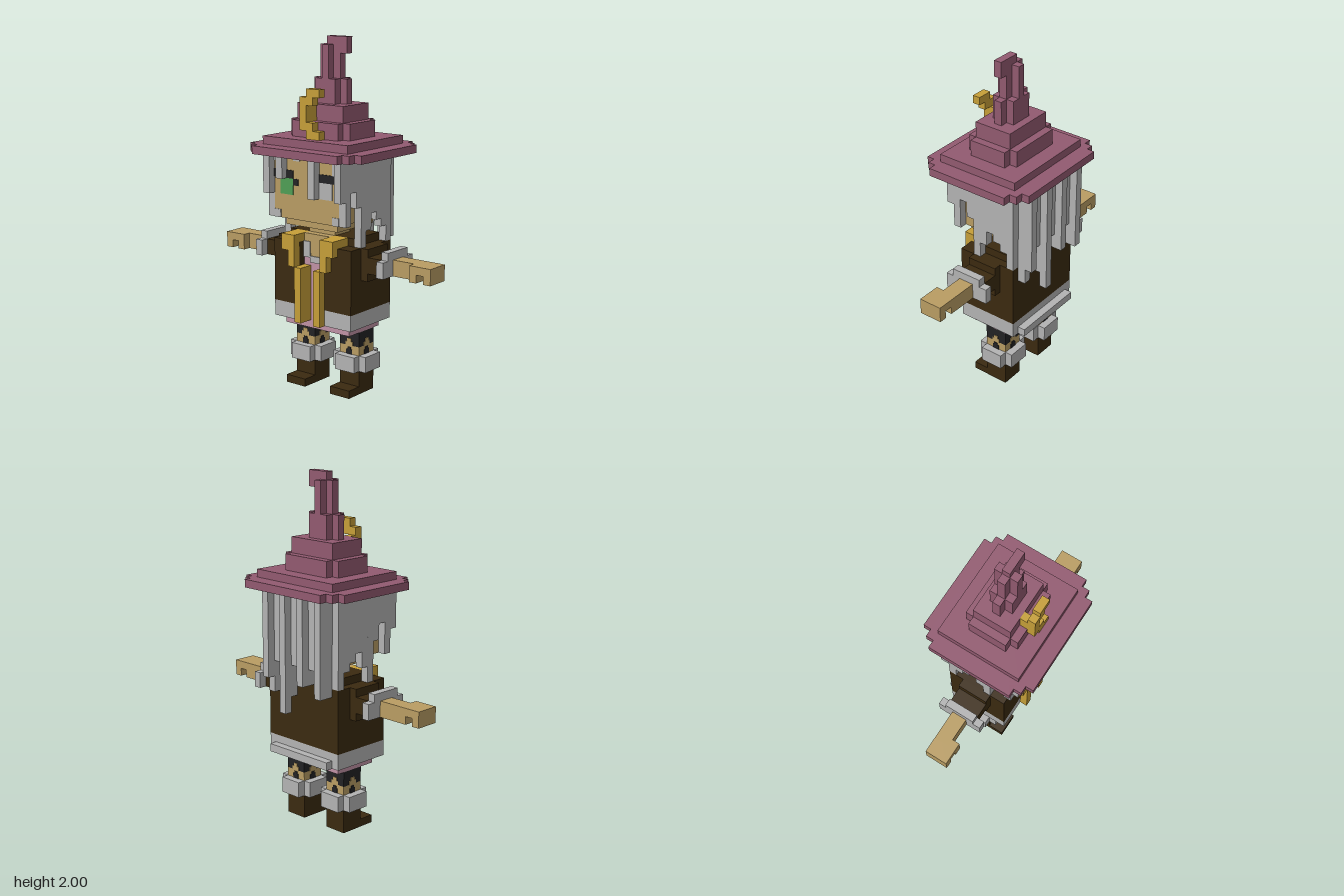
import * as THREE from 'three';

const U = 1 / 22; // one block

export function createModel() {
  const model = new THREE.Group();
  const colour = (name, hex) => {
    const m = new THREE.MeshStandardMaterial({ color: hex });
    m.name = name;
    return m;
  };
  const plum = colour('plum felt', 0x925a70);
  const gold = colour('gold trim', 0xc69f38);
  const skin = colour('skin', 0xb99d63);
  const grey = colour('grey hair and fur', 0xb3b3b3);
  const brown = colour('dark brown leather', 0x3b2a10);
  const pink = colour('pink cloth', 0xc092a6);
  const black = colour('black', 0x222224);
  const green = colour('green', 0x4f9f55);

  // box from min/max block coordinates
  const box = (name, mat, x0, x1, y0, y1, z0, z1) => {
    const mesh = new THREE.Mesh(new THREE.BoxGeometry((x1 - x0) * U, (y1 - y0) * U, (z1 - z0) * U), mat);
    mesh.position.set((x0 + x1) / 2 * U, (y0 + y1) / 2 * U, (z0 + z1) / 2 * U);
    mesh.name = name;
    model.add(mesh);
  };
  // same box on both sides of the body
  const pair = (name, mat, x0, x1, ...r) => {
    box(name + 'Left', mat, x0, x1, ...r);
    box(name + 'Right', mat, -x1, -x0, ...r);
  };

  // hat: stepped brim, stacked crown and bent tip
  [
    [-8, 9, 30, 31, 5.5], [-7, 8, 30, 31, 6.5], [-6, 7, 30, 31, 7.5],
    [-6, 7, 31, 32, 5.5],
    [-4, 5, 32, 34, 2.5], [-3, 4, 32, 34, 3.5],
    [-3, 4, 34, 36, 2.5],
    [-2, 3, 36, 39, 0.5], [-1, 2, 36, 39, 1.5],
    [-1, 2, 39, 43, 0.5], [0, 1, 39, 43, 1.5],
    [0, 3, 42, 44, 0.5],
  ].forEach(([x0, x1, y0, y1, z]) => box('hatTier', plum, x0, x1, y0, y1, -z, z));

  // crescent on the hat
  [
    [0, 2, 37, 38, 3.5], [0, 1, 36, 37, 3.5], [-1, 0, 33, 37, 3.5],
    [-1, 0, 34, 36, 2.5], [0, 1, 32, 34, 3.5], [1, 2, 32, 33, 3.5],
  ].forEach(([x0, x1, y0, y1, z]) => box('crescent', gold, x0, x1, y0, y1, z, 4.5));

  // head, chin and neck
  box('head', skin, -5, 5, 22, 30, -4.5, 4.5);
  box('chin', skin, -4, 4, 21, 22, -3.5, 3.5);
  box('neck', skin, -2, 2, 17, 21, -1.5, 1.5);

  // face details as thin plates
  const face = (name, mat, x0, x1, y0, y1) => box(name, mat, x0, x1, y0, y1, 4.5, 4.6);
  face('greenEye', green, -4, -2, 25, 27);
  face('paleEye', grey, 2, 4, 25, 27);
  face('browLeft', black, 2, 5, 27, 28);
  face('browRight', black, -5, -4, 27, 28);
  face('browRight', black, -3, -2, 27, 28);
  face('browRight', black, -2, -1.2, 26.2, 27);
  face('hairline', grey, 4, 5, 28, 30);
  face('hairline', grey, -5, -4, 29, 30);
  face('hairline', grey, -2, -1, 29.2, 30);
  face('jawHair', grey, 4, 5, 22, 23);
  face('jawHair', grey, -5, -4, 22, 23);
  box('fringeLeft', grey, 1, 2, 25, 30, 4.5, 5.5);
  box('fringeRight', grey, -4, -3, 27, 30, 4.5, 5.5);
  pair('templeLock', grey, 5, 6, 25, 30, 4.5, 5.5);

  // side hair, one column per block from front to back
  [22, 26, 24, 19, 21, 23, 22, 21, 19].forEach((y, i) =>
    pair('sideHair', grey, 5, 6, y, 30, 3.5 - i, 4.5 - i));

  // back hair with longer strands
  box('backHair', grey, -5, 5, 21, 30, -5.5, -4.5);
  [[4, 5, 17], [1, 2, 17], [-2, -1, 19], [-5, -4, 18]].forEach(([x0, x1, y]) =>
    box('backStrand', grey, x0, x1, y, 21, -5.5, -4.5));
  [[1, 2, 15], [-2, -1, 19], [-5, -4, 18], [4, 5, 19]].forEach(([x0, x1, y]) =>
    box('outerStrand', grey, x0, x1, y, 30, -6.5, -5.5));

  // shirt and bare chest
  box('shirt', pink, -4, 4, 9, 17, -3.4, 2.5);
  box('shirtHem', pink, -5, 5, 8, 9, -3.5, 2.5);
  box('chest', skin, -2, 2, 17, 20, 1.5, 2.5);
  pair('necklace', grey, 1, 2, 17, 19, 2.5, 2.65);
  box('necklace', grey, -1, 1, 16.4, 17.2, 2.5, 2.65);

  // jacket, open at the front
  pair('jacketSide', brown, 2, 6, 11, 19, -4.5, 3.5);
  box('jacketBack', brown, -2, 2, 11, 19, -4.5, -3.5);
  pair('jacketShoulder', brown, 2, 5, 19, 20, -3.5, 1.5);
  box('jacketNape', brown, -2, 2, 19, 20, -3.5, -1.5);
  pair('furHem', grey, 2, 6, 9, 11, -4.5, 3.5);
  box('furHemBack', grey, -2, 2, 9, 11, -4.5, -3.5);
  box('furHemFlare', grey, -5, 5, 9, 10, -5.5, -4.5);

  // gold lapels and collar
  pair('lapel', gold, 1, 2, 9, 16, 2.5, 4.5);
  pair('upperLapel', gold, 2, 3, 16, 20, 3.5, 4.5);
  pair('collar', gold, 2, 4, 19, 20, 1.5, 3.5);
  pair('collarTip', gold, 3, 4, 18, 20, 3.5, 4.5);

  // arms: shoulder, sleeve, fur cuff, forearm, hand and fingers
  pair('shoulder', brown, 6, 7, 15, 19, -2.5, 1.5);
  pair('sleeve', brown, 7, 9, 16, 18, -2.5, 1.5);
  pair('armCuff', grey, 9, 10, 16, 18, -3.5, 2.5);
  pair('armCuffTop', grey, 9, 10, 18, 19, -2.5, 1.5);
  pair('forearm', skin, 10, 14, 16, 18, -1.5, 0.5);
  pair('palm', skin, 13, 16, 17, 18, -1.5, 1.5);
  pair('thumb', skin, 13, 14, 16, 17, 0.5, 1.5);
  pair('fingertips', skin, 15, 16, 16, 17, -1.5, 1.5);

  // legs: stocking, knee, fur cuff and boot
  pair('stocking', black, 2, 5, 6.1, 8, -2.5, 0.5);
  pair('knee', skin, 2, 5, 5, 6.1, -2.5, 0.5);
  pair('legCuff', grey, 1, 6, 3, 5, -2.5, 0.5);
  pair('legCuff', grey, 2, 5, 3, 5, -3.5, 1.5);
  pair('boot', brown, 2, 5, 0, 3, -2.5, 0.5);
  pair('bootToe', brown, 2, 5, 0, 1, 0.5, 2.5);

  // stocking pattern on all four sides of each leg
  [[skin, 1.1, 6.1, 6.6], [skin, 0.6, 6.6, 7], [black, 0.9, 5, 5.6], [black, 0.5, 5.6, 5.9]].forEach(([mat, w, y0, y1]) => {
    const a = w / 2;
    pair('legPatch', mat, 3.5 - a, 3.5 + a, y0, y1, 0.5, 0.58);
    pair('legPatch', mat, 3.5 - a, 3.5 + a, y0, y1, -2.58, -2.5);
    pair('legPatch', mat, 5, 5.08, y0, y1, -1 - a, -1 + a);
    pair('legPatch', mat, 1.92, 2, y0, y1, -1 - a, -1 + a);
  });

  return model;
}
